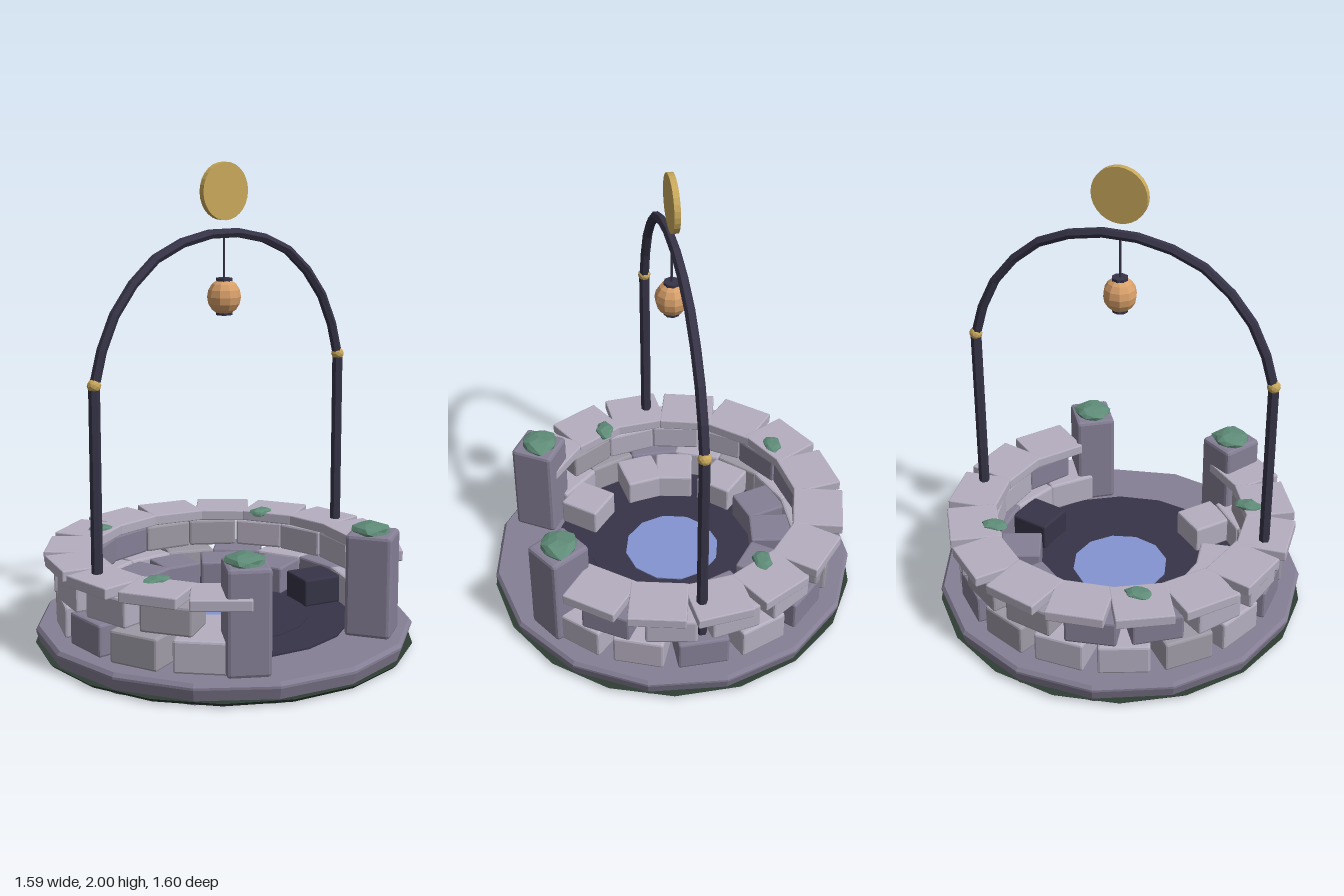
import * as THREE from 'three';
import { RoundedBoxGeometry } from 'three/addons/geometries/RoundedBoxGeometry.js';

const mat = (name, color) => {
  const m = new THREE.MeshStandardMaterial({ color, flatShading: true });
  m.name = name;
  return m;
};

export function createModel() {
  const root = new THREE.Group();
  root.name = 'moonWell';

  const lightStone = mat('light stone', 0xb4aebf);
  const greyStone = mat('grey stone', 0x9f9ba6);
  const midStone = mat('mid stone', 0x857f95);
  const dark = mat('dark iron', 0x363447);
  const water = mat('water', 0x8494d0);
  const moss = mat('moss', 0x5f8c78);
  const deepMoss = mat('deep moss', 0x2f3d34);
  const gold = mat('gold', 0xc8a85c);
  const amber = mat('amber', 0xd8a06a);

  let seed = 7;
  const rand = () => (seed = (seed * 16807) % 2147483647) / 2147483647;

  const add = (name, geo, material, x = 0, y = 0, z = 0, parent = root) => {
    const mesh = new THREE.Mesh(geo, material);
    mesh.name = name;
    mesh.position.set(x, y, z);
    parent.add(mesh);
    return mesh;
  };
  const cyl = (name, rTop, rBottom, y0, y1, sides, material, x = 0, z = 0) =>
    add(name, new THREE.CylinderGeometry(rTop, rBottom, y1 - y0, sides), material, x, (y0 + y1) / 2, z);
  // Block with chamfered edges and flat faces
  const block = (w, h, d, bevel) => {
    const g = new RoundedBoxGeometry(w, h, d, 1, bevel).toNonIndexed();
    g.computeVertexNormals();
    return g;
  };
  // Angles run clockwise from the back, in degrees
  const placeOnRing = (name, geo, material, deg, r, y, parent) => {
    const a = THREE.MathUtils.degToRad(deg);
    const mesh = add(name, geo, material, r * Math.sin(a), y, -r * Math.cos(a), parent);
    mesh.rotation.y = Math.atan2(mesh.position.x, mesh.position.z);
    return mesh;
  };

  // Base slab with a thin rim of moss beneath
  const profile = [[0, 0], [0.775, 0], [0.797, 0.065], [0.797, 0.075], [0.785, 0.09], [0, 0.09]]
    .map(([x, y]) => new THREE.Vector2(x, y));
  add('baseSlab', new THREE.LatheGeometry(profile, 15), midStone);
  cyl('mossRim', 0.8, 0.785, 0.003, 0.018, 18, deepMoss);

  // Well floor and pool
  cyl('wellFloor', 0.535, 0.535, 0.08, 0.098, 18, dark);
  cyl('wellStep', 0.36, 0.36, 0.09, 0.103, 18, dark);
  cyl('pool', 0.21, 0.21, 0.1, 0.108, 12, water);

  // Two brick courses, open at the front
  const STEP = 22.3;
  const lower = new THREE.Group();
  lower.name = 'lowerCourse';
  const upper = new THREE.Group();
  upper.name = 'upperCourse';
  root.add(lower, upper);
  const lowerTones = [lightStone, greyStone, midStone, lightStone, greyStone, lightStone];
  const upperTones = [greyStone, midStone, lightStone, lightStone, greyStone, midStone, lightStone];
  for (let i = 0; i < 13; i++) {
    placeOnRing('lowerBrick', block(0.215, 0.135, 0.18, 0.01),
      i === 10 ? midStone : lowerTones[i % 6], -133 + i * STEP, 0.61 + rand() * 0.01, 0.157, lower);
  }
  for (let i = 0; i < 12; i++) {
    placeOnRing('upperBrick', block(0.215, 0.118, 0.17, 0.01),
      upperTones[(i * 3) % 7], -122 + i * STEP, 0.62 + rand() * 0.012, 0.3, upper);
  }

  // Capstones
  const caps = new THREE.Group();
  caps.name = 'capstones';
  root.add(caps);
  for (let i = 0; i < 13; i++) {
    const cap = placeOnRing('capstone', block(0.24, 0.046, 0.215, 0.005), lightStone,
      -139.5 + i * STEP, 0.635 + rand() * 0.012, 0.383 + (i % 2) * 0.001, caps);
    cap.rotation.y += (rand() - 0.5) * 0.08;
  }

  // Low inner ring of blocks, some missing
  const inner = new THREE.Group();
  inner.name = 'innerBlocks';
  root.add(inner);
  [[-140, lightStone], [-99, lightStone], [-78, lightStone], [-47, lightStone], [-15, midStone],
    [9, midStone], [37, midStone], [70, midStone], [103, dark]].forEach(([deg, m]) =>
    placeOnRing('innerBlock', block(0.17, 0.12, 0.18, 0.008), m, deg, 0.44, 0.156, inner));

  // Squashed, slightly lumpy moss cushion
  const mossClump = (x, y, z, r, h) => {
    const g = new THREE.IcosahedronGeometry(1, 1);
    const p = g.attributes.position;
    for (let i = 0; i < p.count; i++) {
      const px = p.getX(i), py = p.getY(i), pz = p.getZ(i);
      const k = 0.95 + 0.1 * Math.sin(px * 5 + pz * 7 + x * 9) + 0.06 * Math.cos(py * 4 + pz * 3);
      p.setXYZ(i, px * k * r, py * k * h, pz * k * r);
    }
    return add('mossClump', g, moss, x, y, z);
  };

  // Gate pillars and iron posts, mirrored
  for (const s of [-1, 1]) {
    placeOnRing('gatePillar', block(0.175, 0.43, 0.19, 0.015), midStone, s * 148, 0.64, 0.303);
    mossClump(s * 0.338, 0.525, 0.542, 0.085, 0.033);
    cyl('ironPost', 0.023, 0.023, 0.23, 1.16, 6, dark, s * 0.65);
    add('postJoint', new THREE.IcosahedronGeometry(0.028, 1), gold, s * 0.65, 1.157, 0);
  }
  for (const [x, z] of [[-0.27, -0.52], [0.465, -0.295], [-0.52, 0.22]]) {
    mossClump(x, 0.405, z, 0.062, 0.02).scale.z = 0.7;
  }

  // Arch, made of straight pieces
  const half = [[0.65, 1.15], [0.63, 1.235], [0.563, 1.4], [0.465, 1.53], [0.325, 1.642], [0.165, 1.697]];
  const path = [...half.map(([x, y]) => [-x, y]), [0, 1.717], ...half.slice().reverse()]
    .map(([x, y]) => new THREE.Vector3(x, y, 0));
  add('arch', new THREE.TubeGeometry(new THREE.CatmullRomCurve3(path), 13, 0.021, 6), dark);

  // Moon disc above the arch
  add('moonDisc', new THREE.CylinderGeometry(0.117, 0.117, 0.025, 28), gold, 0, 1.883, 0).rotation.x = Math.PI / 2;

  // Hanging lantern
  cyl('lanternCord', 0.005, 0.005, 1.52, 1.71, 5, dark);
  add('lanternBody', new THREE.SphereGeometry(0.07, 10, 8), amber, 0, 1.455, 0).scale.y = 1.08;
  cyl('lanternTop', 0.034, 0.034, 1.512, 1.532, 8, dark);
  cyl('lanternBottom', 0.034, 0.034, 1.38, 1.398, 8, dark);

  return root;
}
